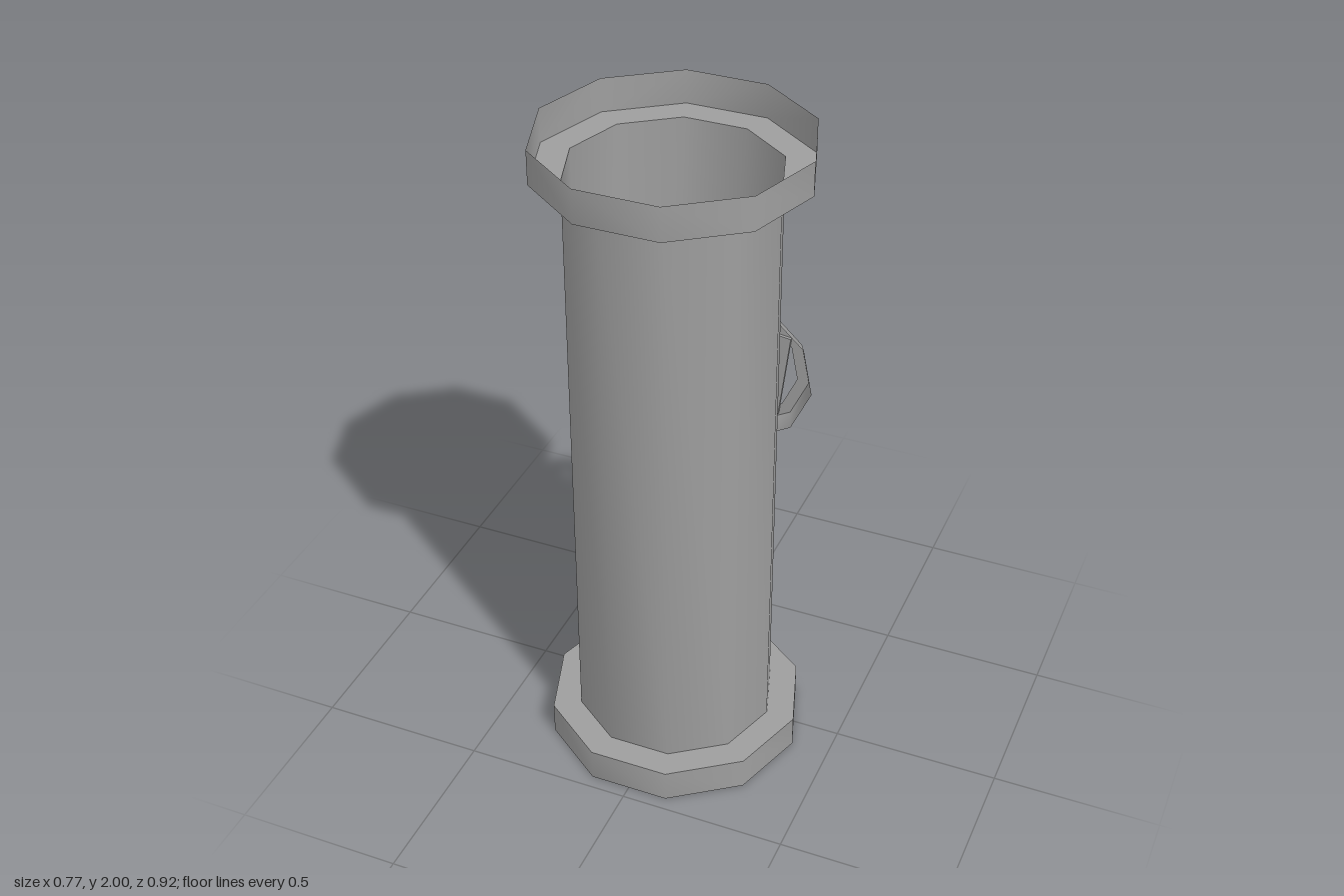
import * as THREE from 'three';
import { toCreasedNormals } from 'three/addons/utils/BufferGeometryUtils.js';

const material = new THREE.MeshStandardMaterial({ color: 0x9e9e9e });
const thinMaterial = new THREE.MeshStandardMaterial({ color: 0x9e9e9e, side: THREE.DoubleSide });

const PIPE_Z = 0.093;
const VALVE = { x: 0.0085, y: 1.003 };
const WHEEL_TILT = 0.12;

// Revolved part; facets around the axis are shaded smooth, rims are creased
function turned(name, profile, sides, mat, phase = 0) {
  const points = profile.map(([r, y]) => new THREE.Vector2(r, y));
  const geometry = new THREE.LatheGeometry(points, sides, Math.PI / 2 + phase);
  const mesh = new THREE.Mesh(toCreasedNormals(geometry, 1.06), mat);
  mesh.name = name;
  return mesh;
}

// Solid six-sided rod or disc along the valve axis
function hexRod(name, radius, start, end) {
  return turned(name, [[0, start], [radius, start], [radius, end], [0, end]], 6, material);
}

export function createModel() {
  const model = new THREE.Group();
  model.name = 'pipeWithValve';

  // Open, thin-walled pipe with a stepped collar at each end
  const pipe = new THREE.Group();
  pipe.name = 'pipe';
  pipe.position.z = PIPE_Z;
  pipe.add(
    turned('pipeWall', [[0.3, 0.1], [0.3, 1.9]], 10, thinMaterial),
    turned('bottomCollar', [[0.386, 0], [0.386, 0.1], [0.3, 0.1]], 10, thinMaterial),
    turned('topCollar', [[0.3, 1.9], [0.386, 1.9], [0.386, 2]], 10, thinMaterial)
  );
  model.add(pipe);

  // Valve on the back: local +y points to -z
  const valve = new THREE.Group();
  valve.name = 'valve';
  valve.position.set(VALVE.x, VALVE.y, 0);
  valve.rotation.x = -Math.PI / 2;
  valve.add(
    hexRod('valveNeck', 0.091, 0.188, 0.245),
    hexRod('valveFlange', 0.1365, 0.245, 0.297),
    hexRod('valveStem', 0.0405, 0.297, 0.46)
  );

  // Handwheel: thin bevelled rim with a square web spanning its opening
  const rim = [[0.243, 0.358], [0.215, 0.41], [0.178, 0.41]];
  valve.add(turned('wheelRim', rim, 10, thinMaterial, WHEEL_TILT));
  const web = new THREE.Mesh(new THREE.BoxGeometry(0.28, 0.01, 0.28), material);
  web.name = 'wheelWeb';
  web.position.y = 0.403;
  web.rotation.y = WHEEL_TILT;
  valve.add(web);
  model.add(valve);

  return model;
}
